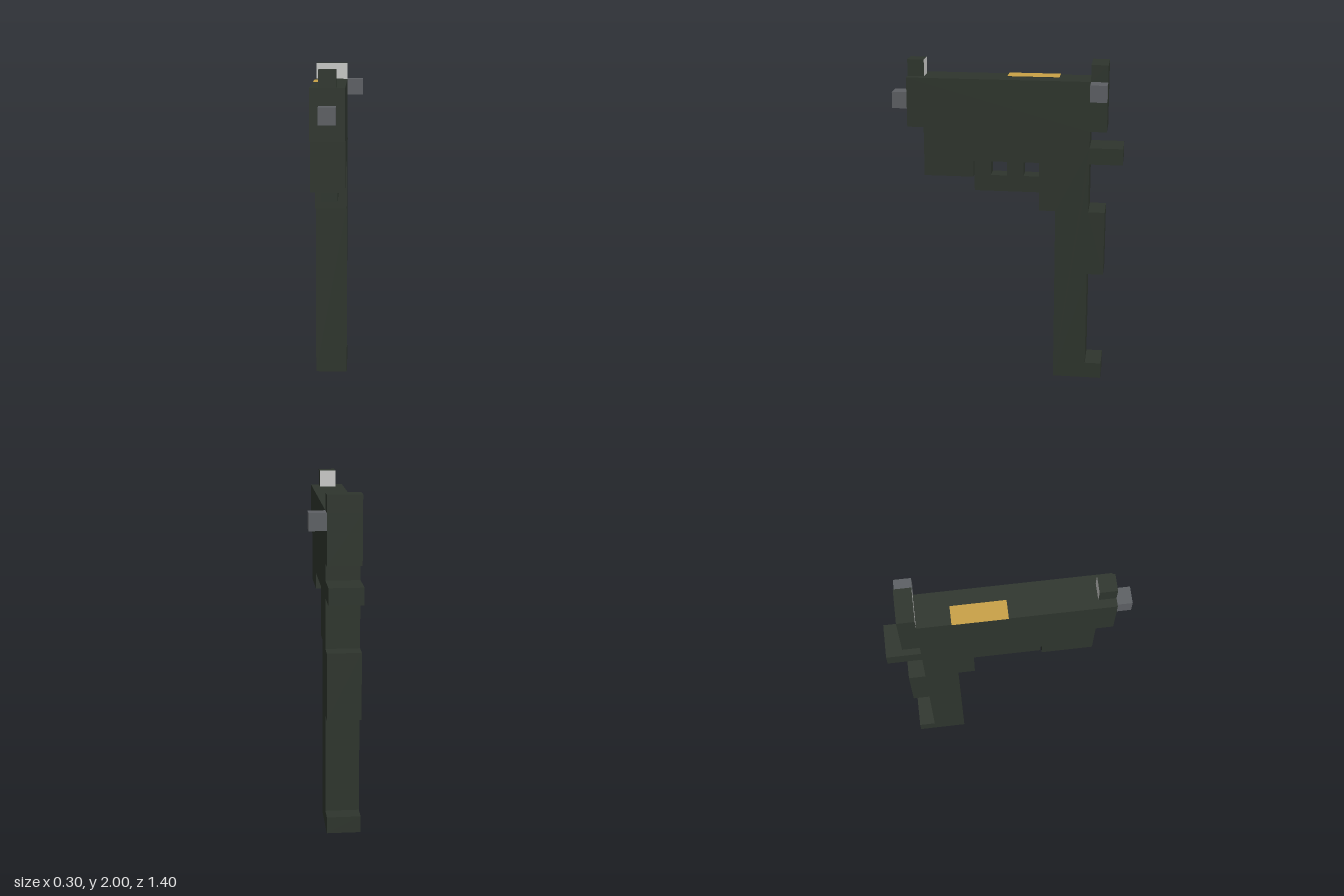
import * as THREE from 'three';

const mat = (name, color) => {
  const m = new THREE.MeshStandardMaterial({ color });
  m.name = name;
  return m;
};

export function createModel() {
  const green = mat('darkGreen', 0x2e352d);
  const grey = mat('steelGrey', 0x5d6064);
  const white = mat('sightWhite', 0xc9cac8);
  const brass = mat('brass', 0xc9a146);

  const model = new THREE.Group();
  model.name = 'blockPistol';

  // Box from min/max corners; faces order: +x, -x, +y, -y, +z, -z
  const box = (name, material, [x0, x1], [y0, y1], [z0, z1]) => {
    const geo = new THREE.BoxGeometry(x1 - x0, y1 - y0, z1 - z0);
    const mesh = new THREE.Mesh(geo, material);
    mesh.position.set((x0 + x1) / 2, (y0 + y1) / 2, (z0 + z1) / 2);
    mesh.name = name;
    model.add(mesh);
  };
  const faceColor = (index, material) =>
    Array.from({ length: 6 }, (_, i) => (i === index ? material : green));

  // Slide, frame, beavertail and grip: one stepped side profile (z, y)
  const profile = [
    [0.6, 1.9], [-0.6, 1.9], [-0.6, 1.6], [-0.5, 1.6], [-0.5, 1.5], [-0.7, 1.5],
    [-0.7, 1.4], [-0.5, 1.4], [-0.5, 1.1], [-0.6, 1.1], [-0.6, 0.7], [-0.5, 0.7],
    [-0.5, 0.1], [-0.6, 0.1], [-0.6, 0], [-0.3, 0], [-0.3, 1.1], [-0.2, 1.1],
    [-0.2, 1.4], [0.2, 1.4], [0.2, 1.3], [0.5, 1.3], [0.5, 1.6], [0.6, 1.6],
  ];
  const shape = new THREE.Shape(profile.map(([z, y]) => new THREE.Vector2(z, y)));
  const bodyGeo = new THREE.ExtrudeGeometry(shape, { depth: 0.2, bevelEnabled: false });
  bodyGeo.rotateY(-Math.PI / 2).translate(0.05, 0, 0);
  const body = new THREE.Mesh(bodyGeo, green);
  body.name = 'bodyAndGrip';
  model.add(body);

  const full = [-0.15, 0.05];
  const narrow = [-0.1, 0];

  // Sights with a pale face on the inner side
  box('frontSight', faceColor(5, white), narrow, [1.9, 2], [0.5, 0.6]);
  box('rearSight', faceColor(4, white), full, [1.9, 2], [-0.6, -0.5]);

  // Muzzle and cocking knob
  box('muzzle', grey, narrow, [1.7, 1.8], [0.6, 0.7]);
  box('cockingKnob', grey, [0.05, 0.15], [1.8, 1.9], [-0.6, -0.5]);

  // Trigger and its guard
  box('triggerGuard', green, narrow, [1.2, 1.3], [-0.2, 0.2]);
  box('guardPost', green, narrow, [1.3, 1.4], [0.1, 0.2]);
  box('trigger', green, narrow, [1.3, 1.4], [-0.1, 0]);

  // Ejection port cover with a brass top
  box('ejectionPort', faceColor(2, brass), [-0.154, -0.042], [1.8, 1.904], [-0.308, 0.004]);

  return model;
}
